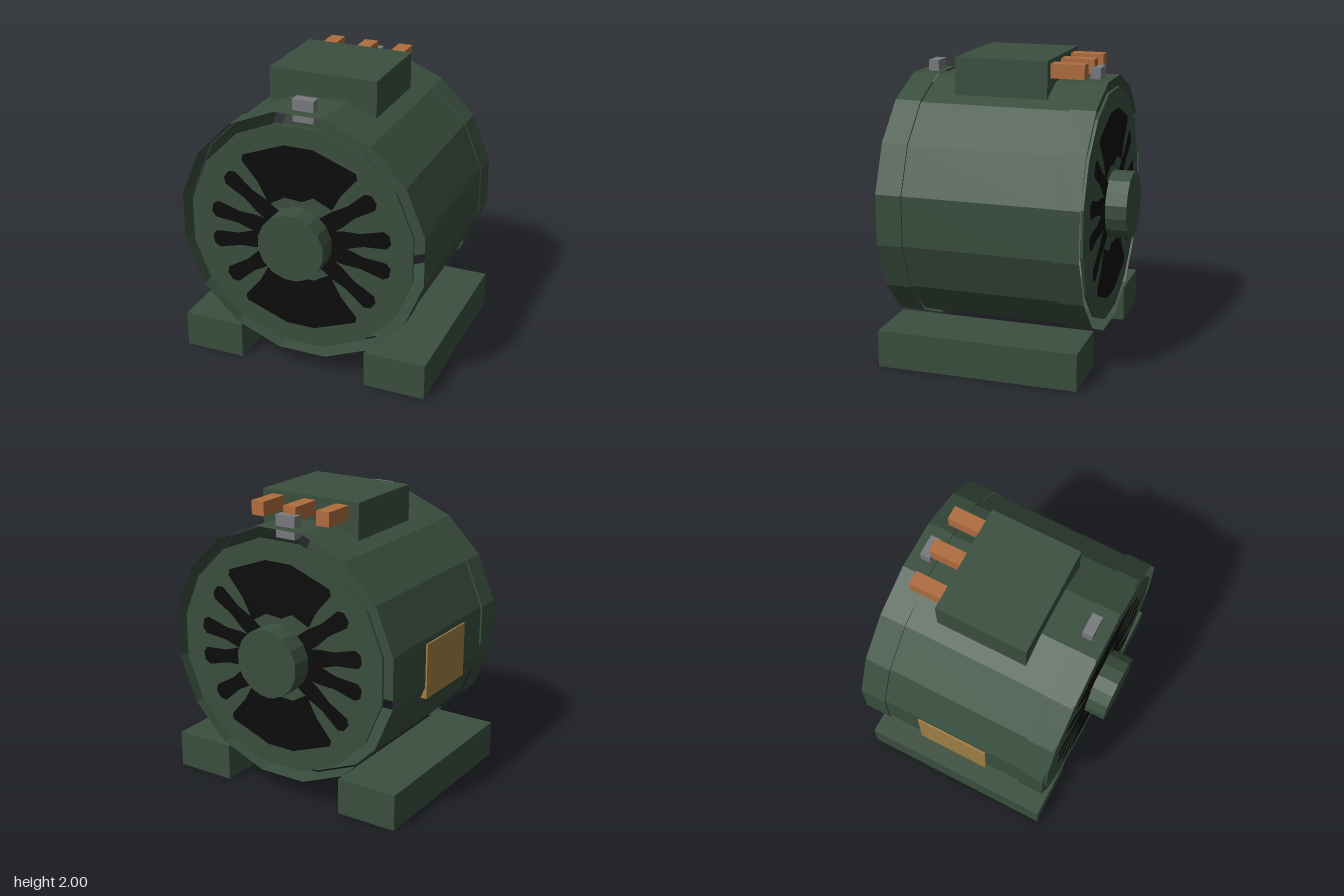
import * as THREE from 'three';

const mat = (name, color, extra = {}) => {
  const m = new THREE.MeshStandardMaterial({ color, flatShading: true, ...extra });
  m.name = name;
  return m;
};

export function createModel() {
  const model = new THREE.Group();
  model.name = 'electricMotor';
  const green = mat('greenPaint', 0x3a4f3f);
  const greenShell = mat('greenShell', 0x3a4f3f, { side: THREE.DoubleSide });
  greenShell.color = green.color;
  const black = mat('ventBlack', 0x0c0c0c);
  const copper = mat('copper', 0xb06c3e);
  const brass = mat('brass', 0xa08045);
  const grey = mat('steelGrey', 0x787a7e);

  const add = (name, geometry, material, parent = model) => {
    const mesh = new THREE.Mesh(geometry, material);
    mesh.name = name;
    parent.add(mesh);
    return mesh;
  };

  // Box given by its limits on each axis
  const box = (name, material, [x0, x1], [y0, y1], [z0, z1]) => {
    const mesh = add(name, new THREE.BoxGeometry(x1 - x0, y1 - y0, z1 - z0), material);
    mesh.position.set((x0 + x1) / 2, (y0 + y1) / 2, (z0 + z1) / 2);
  };

  // Sixteen-sided drum along z with a flat side on top, centred on the shaft
  const drum = (name, material, radius, z0, z1, open, parent = model) => {
    const g = new THREE.CylinderGeometry(radius, radius, z1 - z0, 16, 1, open, Math.PI / 16);
    g.rotateX(Math.PI / 2).translate(0, 0, (z0 + z1) / 2);
    const mesh = add(name, g, material, parent);
    mesh.position.y = parent === model ? 1 : 0;
  };

  // Housing shell, open at both ends
  drum('housing', greenShell, 0.855, -0.5, 0.5, true);

  // Vent openings: one broad opening above and below, four fingers on each side
  const polygon = (pts) => new THREE.Shape(pts.map(([x, y]) => new THREE.Vector2(x, y)));
  const wedge = [[-0.22, 0.21], [-0.1, 0.28], [0.02, 0.27], [0.1, 0.31], [0.23, 0.25], [0.29, 0.36],
    [0.4, 0.49], [0.39, 0.53], [0.1, 0.64], [-0.1, 0.64], [-0.39, 0.53], [-0.4, 0.49], [-0.29, 0.36], [-0.23, 0.25]];
  const vents = [polygon(wedge), polygon(wedge.map(([x, y]) => [-x, -y]))];
  const finger = [[0.22, -0.06], [0.33, -0.06], [0.44, -0.045], [0.6, -0.06], [0.635, -0.03],
    [0.635, 0.03], [0.6, 0.06], [0.44, 0.045], [0.33, 0.06], [0.22, 0.06]];
  for (const side of [0, Math.PI]) {
    for (const degrees of [-36, -10.5, 10.5, 36]) {
      const a = side + THREE.MathUtils.degToRad(degrees);
      const c = Math.cos(a), s = Math.sin(a);
      vents.push(polygon(finger.map(([x, y]) => [x * c - y * s, x * s + y * c])));
    }
  }

  // Matching end assemblies, front and back
  for (const [label, turn] of [['front', 0], ['back', Math.PI]]) {
    const end = new THREE.Group();
    end.name = label + 'End';
    end.position.y = 1;
    end.rotation.y = turn;
    model.add(end);
    drum('endRing', greenShell, 0.867, 0.5, 0.675, true, end);
    drum('endPlate', green, 0.79, 0.66, 0.678, false, end);
    drum('bearingHub', green, 0.23, 0.65, 0.825, false, end);
    add('vents', new THREE.ShapeGeometry(vents), black, end).position.z = 0.682;
    const lug = add('liftingLug', new THREE.BoxGeometry(0.145, 0.15, 0.07), grey, end);
    lug.position.set(0, 0.85, 0.565);
  }

  // Feet
  box('leftFoot', green, [0.45, 0.875], [0, 0.25], [-0.675, 0.675]);
  box('rightFoot', green, [-0.875, -0.45], [0, 0.25], [-0.675, 0.675]);

  // Terminal box with three copper terminals at the back
  box('terminalBox', green, [-0.373, 0.373], [1.75, 2], [-0.325, 0.3]);
  for (const x of [-0.25, 0, 0.25]) {
    box('terminal', copper, [x - 0.048, x + 0.048], [1.88, 1.975], [-0.55, -0.32]);
  }

  // Blank rating plate on the side
  box('ratingPlate', brass, [-0.85, -0.74], [0.755, 1.13], [-0.25, 0.25]);

  return model;
}
